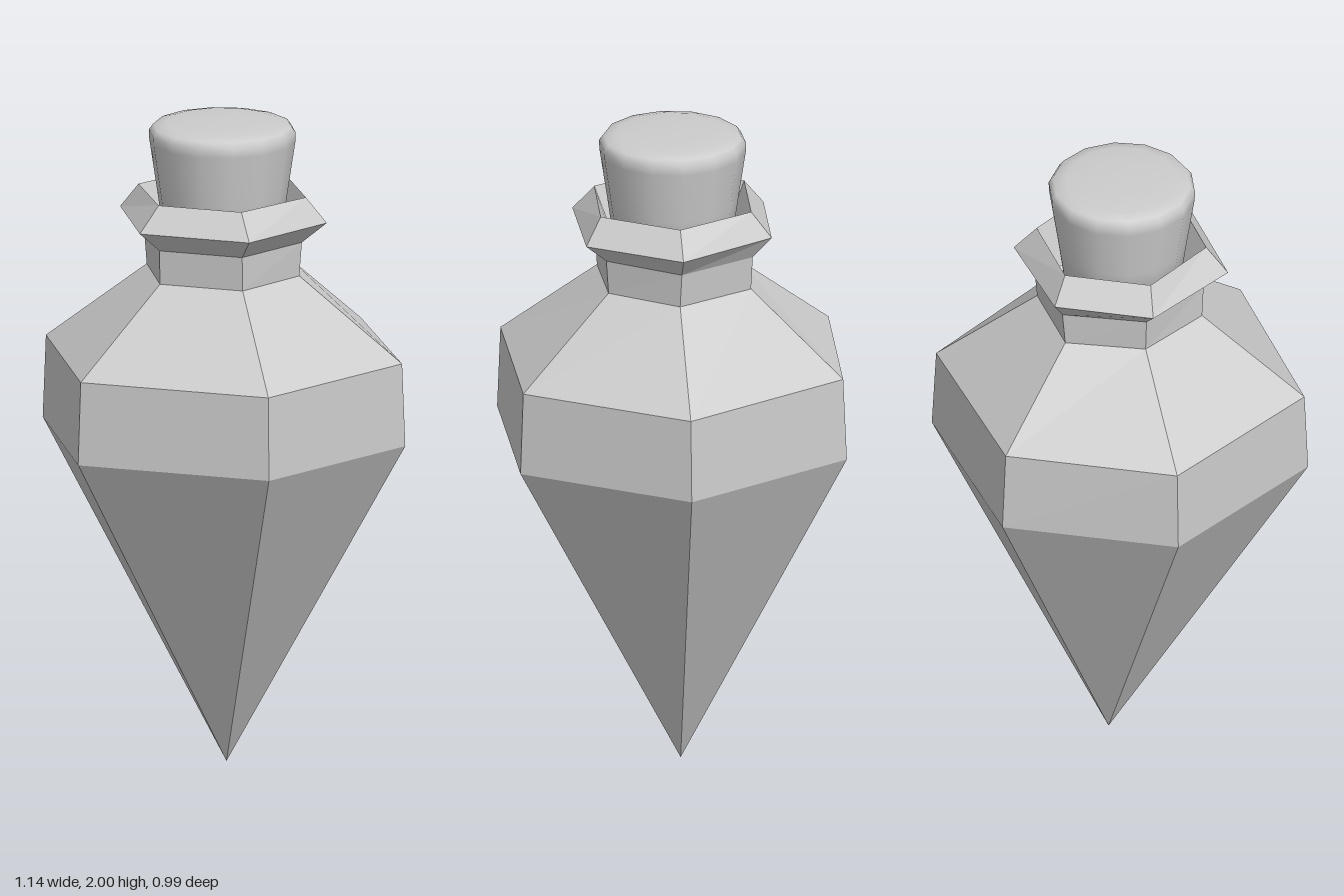
import * as THREE from 'three';

// Builds faceted walls between successive rings, listed from the bottom up
function loft(rings) {
  const pos = [];
  for (let k = 0; k < rings.length - 1; k++) {
    const low = rings[k], up = rings[k + 1];
    for (let i = 0; i < 6; i++) {
      const j = (i + 1) % 6;
      pos.push(...low[i], ...up[i], ...low[j], ...low[j], ...up[i], ...up[j]);
    }
  }
  const geo = new THREE.BufferGeometry();
  geo.setAttribute('position', new THREE.Float32BufferAttribute(pos, 3));
  geo.computeVertexNormals();
  return geo;
}

// Slightly uneven hexagon: half width, corner half width, front z, back z, side z, back skew
function hexRing(y, side, corner, front, back, mid = -0.01, skew = 0) {
  return [
    [side, y, mid], [corner, y, front], [-corner, y, front],
    [-side, y, mid], [-corner, y, back + skew], [corner - skew, y, back - skew / 2],
  ];
}

export function createModel() {
  const model = new THREE.Group();
  model.name = 'bottle';
  const grey = new THREE.MeshStandardMaterial({ color: 0xcccccc });
  grey.name = 'pale grey';

  const add = (name, geometry) => {
    const mesh = new THREE.Mesh(geometry, grey);
    mesh.name = name;
    model.add(mesh);
    return mesh;
  };

  // Rings shared by neighbouring parts
  const tip = Array.from({ length: 6 }, () => [0, 0, -0.035]);
  const belly = hexRing(1.03, 0.57, 0.3, 0.495, -0.49, -0.01, 0.015);
  const shoulder = hexRing(1.285, 0.56, 0.295, 0.485, -0.478, -0.01, 0.015);
  const neckBase = hexRing(1.535, 0.24, 0.13, 0.217, -0.217, 0);
  const neckTop = hexRing(1.64, 0.248, 0.13, 0.222, -0.226, 0);
  const rim = hexRing(1.705, 0.325, 0.172, 0.285, -0.275, -0.005, 0.01);
  const lip = hexRing(1.783, 0.263, 0.13, 0.23, -0.218, 0.008);
  const throat = hexRing(1.64, 0.2, 0.1, 0.18, -0.168, 0.008);

  // Pointed body with sloping shoulders
  add('body', loft([tip, belly, shoulder, neckBase]));
  add('neck', loft([neckBase, neckTop]));
  // Flared collar folding over into the mouth
  add('collar', loft([neckTop, rim, lip, throat]));

  // Tapered, softly rounded stopper
  const profile = [
    [0, 1.58], [0.168, 1.58], [0.196, 1.78], [0.22, 1.94],
    [0.221, 1.968], [0.208, 1.986], [0.17, 1.995], [0.09, 1.999], [0, 2],
  ].map(([r, y]) => new THREE.Vector2(r, y));
  add('stopper', new THREE.LatheGeometry(profile, 14)).position.z = 0.007;

  return model;
}
